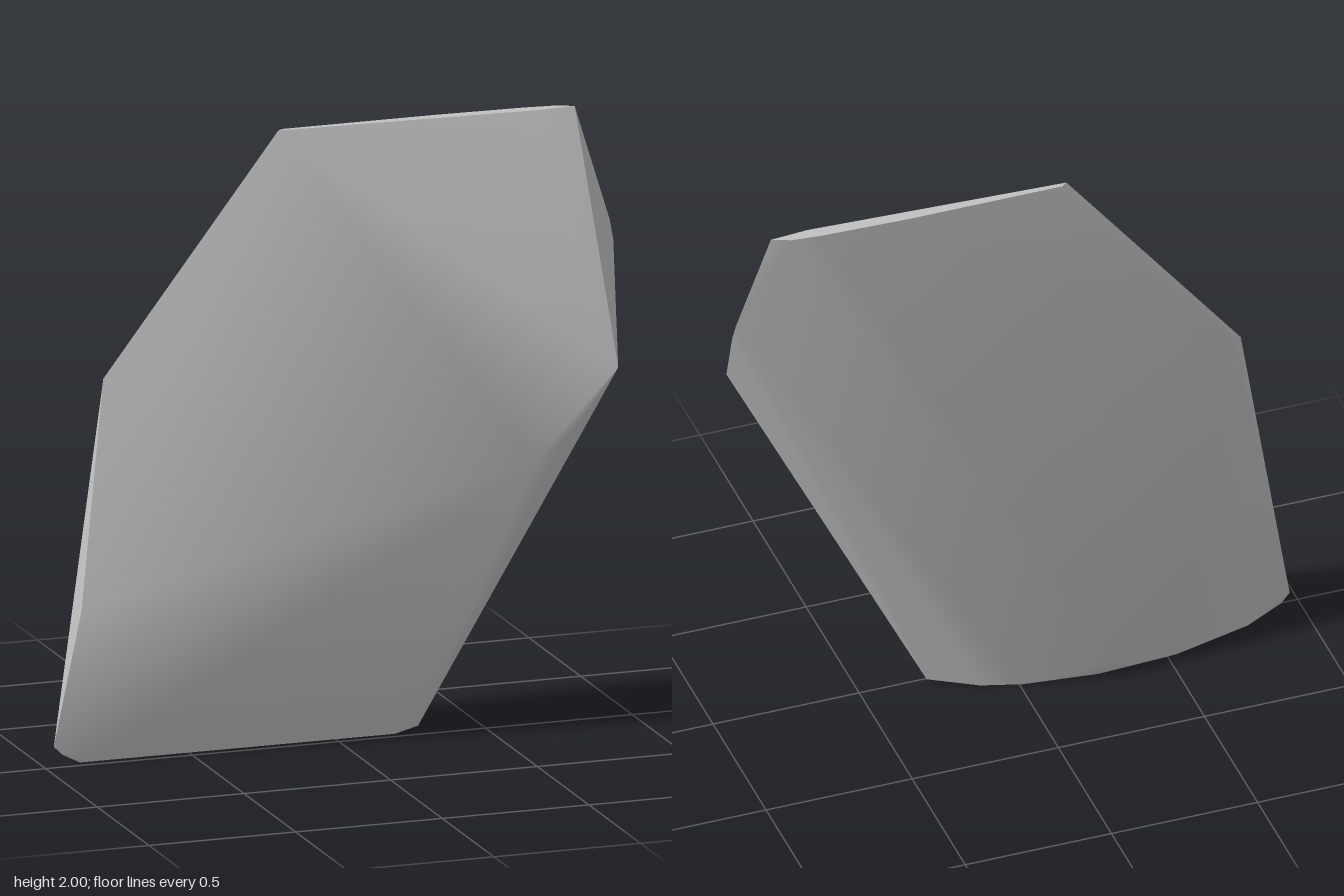
import * as THREE from 'three';
import { ConvexGeometry } from 'three/addons/geometries/ConvexGeometry.js';
import { toCreasedNormals } from 'three/addons/utils/BufferGeometryUtils.js';

export function createModel() {
  const group = new THREE.Group();
  group.name = 'rockSlab';
  const stone = new THREE.MeshStandardMaterial({ color: 0xc0c0c0 });
  stone.name = 'greyStone';

  // raised ridge and front outline
  const front = [
    [0.6, 0.93, 0.205], [0.7, 1.0, 0.205], [0.88, 1.22, 0.205],
    [0.86, 2, -0.16], [0.73, 2, -0.15], [-0.14, 2, -0.19],
    [-0.74, 1.23, -0.18], [-0.86, 0.5, -0.05], [-0.96, 0.06, -0.035],
  ];
  // lens-shaped foot
  const foot = [
    [-0.93, 0.03, -0.04], [-0.87, 0, -0.035], [0.2, 0, -0.03], [0.28, 0.02, -0.03],
    [0.12, 0, -0.095], [-0.01, 0, -0.135], [-0.26, 0, -0.165],
    [-0.53, 0, -0.15], [-0.8, 0, -0.08],
  ];
  // rounded back, from the foot up to the top edge
  const back = [
    [-0.3, 0.06, -0.205], [-0.7, 1.23, -0.205], [-0.12, 2, -0.205],
    [0.4, 2, -0.205], [0.7, 2, -0.195], [0.8, 2, -0.185],
    [0.955, 1.63, -0.09], [0.96, 1.57, -0.07],
  ];

  const points = [...front, ...foot, ...back].map((p) => new THREE.Vector3(...p));
  const rock = new THREE.Mesh(toCreasedNormals(new ConvexGeometry(points), 0.75), stone);
  rock.name = 'rock';
  group.add(rock);
  return group;
}
